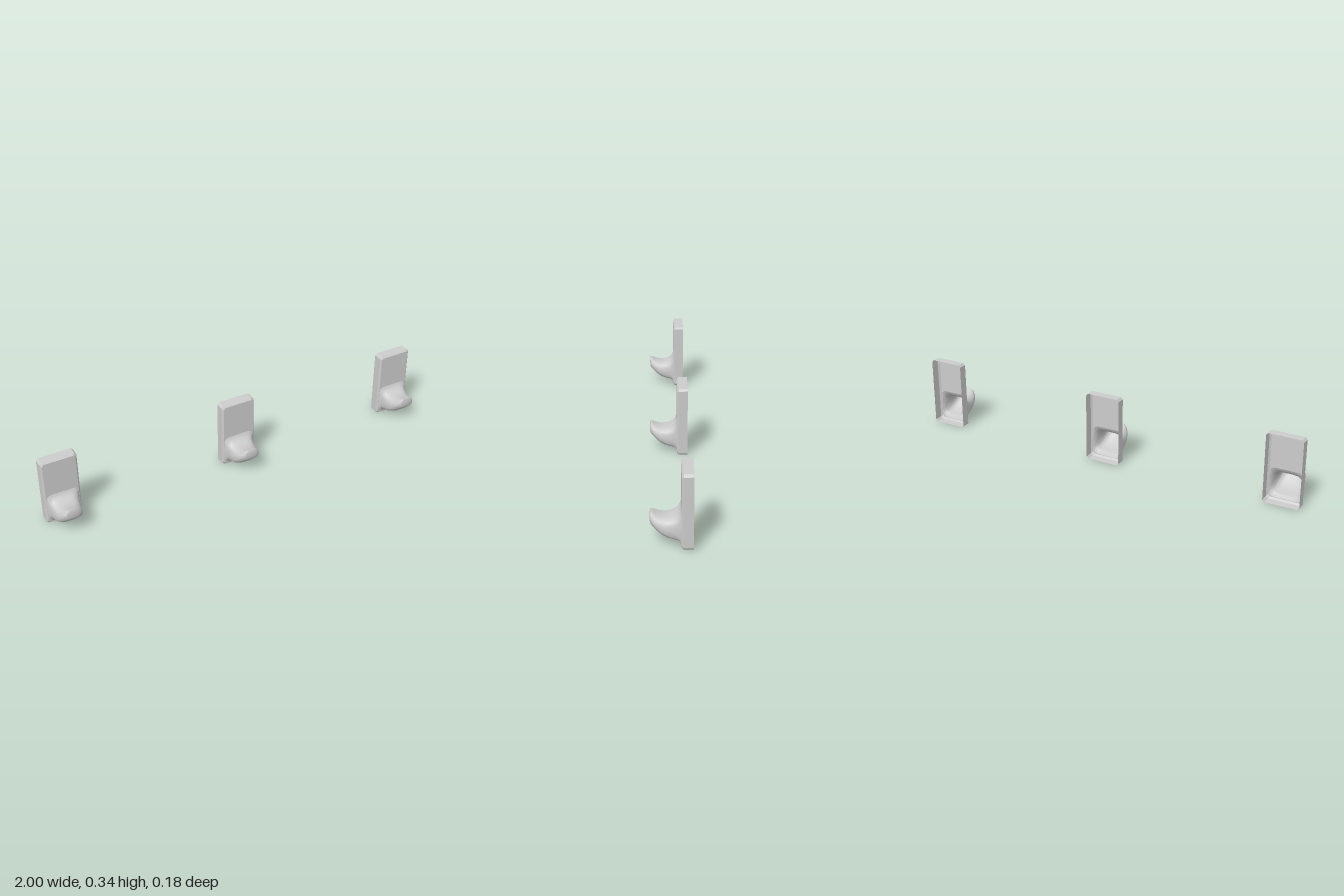
import * as THREE from 'three';
import { toCreasedNormals } from 'three/addons/utils/BufferGeometryUtils.js';

const W = 0.0875, H = 0.338;             // plate half width and height
const BACK = -0.09, EDGE = -0.048, FRONT = -0.04, BEVEL = 0.008;
const SEGMENTS = 40;

const material = new THREE.MeshStandardMaterial({ color: 0xcccccc, side: THREE.DoubleSide });

// Skin a list of equal-length rings, running counterclockwise as seen from +z
function loft(rings, crease) {
  const n = rings[0].length, index = [];
  for (let i = 0; i < rings.length - 1; i++) {
    for (let j = 0; j < n; j++) {
      const a = i * n + j, b = i * n + (j + 1) % n;
      index.push(a, b, b + n, a, b + n, a + n);
    }
  }
  const geometry = new THREE.BufferGeometry().setFromPoints(rings.flat());
  geometry.setIndex(index);
  return toCreasedNormals(geometry, crease);
}

// Rectangle with clipped corners
function plateRing(z, inset) {
  const x = W - inset, y0 = inset, y1 = H - inset, c = 0.01;
  return [
    [x, y0 + c], [x, y1 - c], [x - c, y1], [-x + c, y1],
    [-x, y1 - c], [-x, y0 + c], [-x + c, y0], [x - c, y0],
  ].map(([px, py]) => new THREE.Vector3(px, py, z));
}

// Tilted superellipse, from its bottom to its top point; taper narrows the upper half
function hookRing([zb, yb, zt, yt, halfWidth, power, taper]) {
  const ring = [];
  for (let j = 0; j < SEGMENTS; j++) {
    const a = (j / SEGMENTS) * Math.PI * 2;
    const round = (s) => Math.sign(s) * Math.abs(s) ** (2 / power);
    const u = round(Math.cos(a)), v = round(Math.sin(a)), t = (v + 1) / 2;
    ring.push(new THREE.Vector3(
      u * halfWidth * (1 - taper * Math.max(v, 0)),
      yb + (yt - yb) * t,
      zb + (zt - zb) * t,
    ));
  }
  return ring;
}

// bottom z, bottom y, top z, top y, half width, squareness, taper
const STATIONS = [
  [-0.040, 0.010, -0.040, 0.156, 0.078, 7, 0],
  [-0.036, 0.018, -0.036, 0.147, 0.0755, 5.5, 0],
  [-0.031, 0.025, -0.030, 0.139, 0.073, 4.5, 0.02],
  [-0.020, 0.0265, -0.018, 0.130, 0.070, 4, 0.05],
  [-0.002, 0.029, 0.000, 0.1235, 0.067, 3.6, 0.08],
  [0.018, 0.0345, 0.020, 0.1215, 0.064, 3.3, 0.10],
  [0.038, 0.044, 0.040, 0.124, 0.060, 3.1, 0.14],
  [0.056, 0.059, 0.058, 0.130, 0.055, 3, 0.18],
  [0.070, 0.072, 0.072, 0.136, 0.049, 3, 0.20],
  [0.082, 0.084, 0.081, 0.141, 0.041, 3, 0.20],
  [0.086, 0.089, 0.085, 0.142, 0.036, 3, 0.20],
  [0.089, 0.097, 0.087, 0.139, 0.028, 3, 0.15],
  [0.090, 0.115, 0.090, 0.115, 0.0005, 2, 0],
];

function createHookUnit() {
  const unit = new THREE.Group();
  const add = (name, geometry) => {
    const mesh = new THREE.Mesh(geometry, material);
    mesh.name = name;
    unit.add(mesh);
  };
  const hookRings = STATIONS.map(hookRing);
  const frontRing = plateRing(FRONT, BEVEL);

  // Side walls and bevelled front edge, open at the back
  add('plateWalls', loft([plateRing(BACK, 0), plateRing(EDGE, 0), frontRing], 0.5));

  // Flat face with an opening into the hollow hook
  const flat = (ring) => ring.map((p) => new THREE.Vector2(p.x, p.y));
  const face = new THREE.Shape(flat(frontRing));
  face.holes.push(new THREE.Path(flat(hookRings[0])));
  add('plateFace', new THREE.ShapeGeometry(face).translate(0, 0, FRONT));

  // Hollow upturned hook flaring into the plate
  add('hook', loft(hookRings, 0.9));
  return unit;
}

export function createModel() {
  const model = new THREE.Group();
  model.name = 'wallHooks';
  [['rightHook', -0.9125], ['middleHook', 0], ['leftHook', 0.9125]].forEach(([name, x]) => {
    const unit = createHookUnit();
    unit.name = name;
    unit.position.x = x;
    model.add(unit);
  });
  return model;
}
